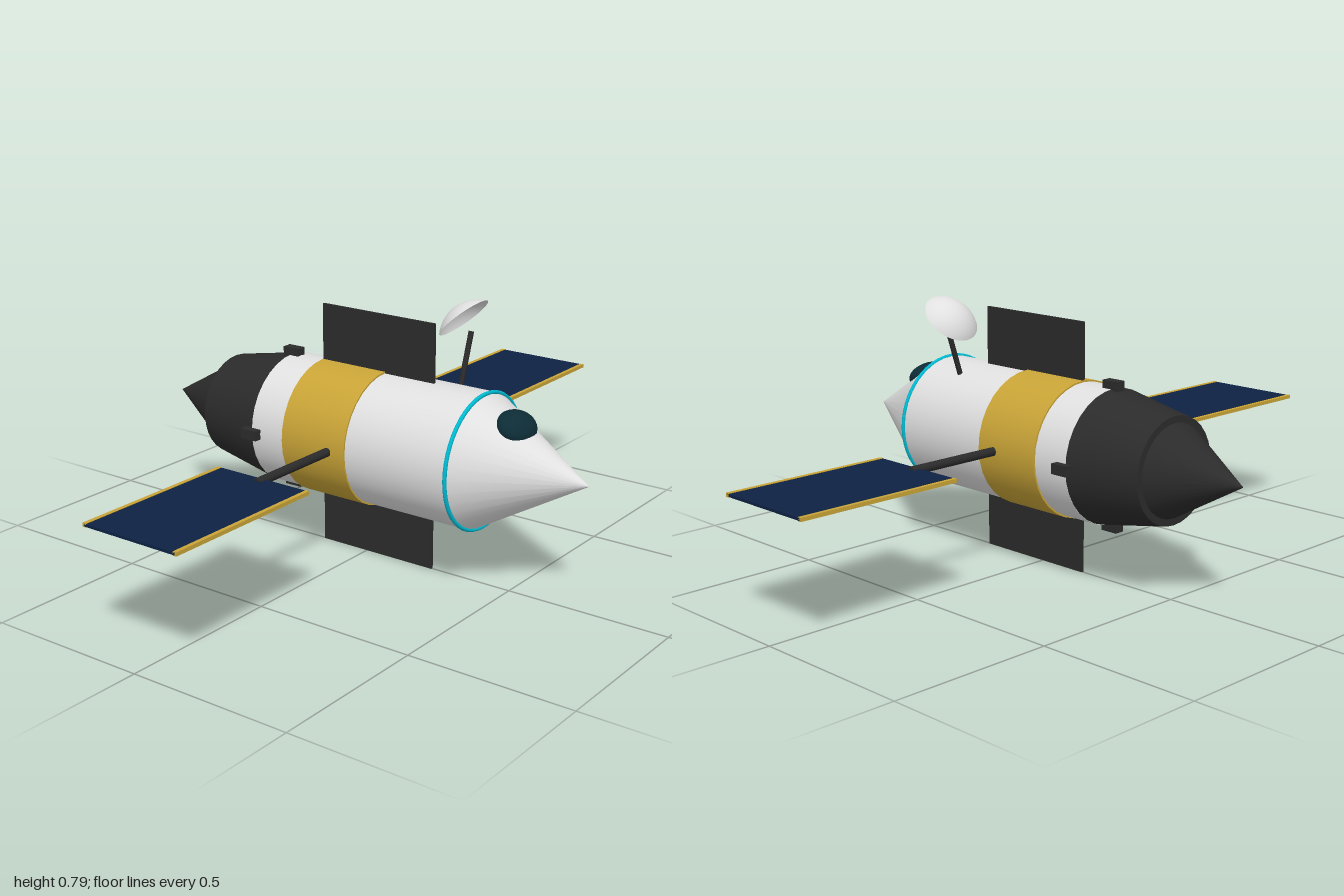
import * as THREE from 'three';

const paint = (name, color, side = THREE.FrontSide) => {
  const m = new THREE.MeshStandardMaterial({ color, side });
  m.name = name;
  return m;
};

export function createModel() {
  const white = paint('hull white', 0xe0e0e0, THREE.DoubleSide);
  const gold = paint('gold foil', 0xc9a437);
  const dark = paint('dark grey', 0x2b2b2b);
  const cyan = paint('cyan trim', 0x00bcd4);
  const glass = paint('dark teal glass', 0x0d2c36);
  const blue = paint('solar blue', 0x0d2244);

  const model = new THREE.Group();
  model.name = 'spacecraft';
  const AXIS = 0.372, R = 0.198;

  const add = (name, geometry, material, x = 0, y = AXIS, z = 0, parent = model) => {
    const mesh = new THREE.Mesh(geometry, material);
    mesh.name = name;
    mesh.position.set(x, y, z);
    parent.add(mesh);
    return mesh;
  };
  // round section along z, from its front end to its back end
  const section = (name, rFront, rBack, zFront, zBack, material) => {
    const g = new THREE.CylinderGeometry(rFront, rBack, zFront - zBack, 32);
    g.rotateX(Math.PI / 2);
    return add(name, g, material, 0, AXIS, (zFront + zBack) / 2);
  };

  // hull
  section('noseCone', 0, R, 0.742, 0.402, white);
  section('hull', R, R, 0.402, -0.28, white);
  section('foilBand', 0.203, 0.203, 0.064, -0.162, gold);
  section('engineSkirt', R - 0.001, 0.155, -0.28, -0.505, dark);
  section('tailCone', 0.135, 0, -0.505, -0.742, dark);
  add('trimRing', new THREE.TorusGeometry(R, 0.006, 8, 48), cyan, 0, AXIS, 0.405);

  // cockpit window bulging from the nose slope
  const cockpit = add('window', new THREE.SphereGeometry(1, 32, 20), glass, 0, 0.495, 0.508);
  cockpit.scale.set(0.072, 0.038, 0.056);
  cockpit.rotation.x = Math.PI / 6;

  // thruster blocks around the skirt joint
  for (let i = 0; i < 4; i++) {
    const a = i * Math.PI / 2;
    const block = add('thruster', new THREE.BoxGeometry(0.03, 0.03, 0.056), dark,
      Math.cos(a) * 0.205, AXIS + Math.sin(a) * 0.205, -0.276);
    block.rotation.z = a;
  }

  // upper and lower radiator plates
  for (const s of [1, -1]) {
    add(s > 0 ? 'upperRadiator' : 'lowerRadiator', new THREE.BoxGeometry(0.008, 0.192, 0.396),
      dark, 0, AXIS + s * 0.276, 0.037);
  }

  // solar wings with boom, panel and edge rails
  for (const s of [1, -1]) {
    const wing = new THREE.Group();
    wing.name = s > 0 ? 'leftWing' : 'rightWing';
    wing.position.set(0, AXIS, 0.004);
    model.add(wing);
    const boom = new THREE.CylinderGeometry(0.013, 0.013, 0.33, 12);
    boom.rotateZ(Math.PI / 2);
    add('boom', boom, dark, s * 0.345, 0, 0, wing);
    add('solarPanel', new THREE.BoxGeometry(0.515, 0.008, 0.31), blue, s * 0.7425, 0, 0, wing);
    for (const e of [1, -1]) {
      add('panelRail', new THREE.BoxGeometry(0.515, 0.011, 0.012), gold, s * 0.7425, 0, e * 0.155, wing);
    }
  }

  // antenna mast leaning outward, with an open dish
  const foot = new THREE.Vector3(0.09, 0.545, 0.265);
  const tip = new THREE.Vector3(0.14, 0.697, 0.265);
  const mast = add('antennaMast', new THREE.CylinderGeometry(0.008, 0.008, foot.distanceTo(tip), 12), dark);
  mast.position.copy(foot).lerp(tip, 0.5);
  mast.quaternion.setFromUnitVectors(new THREE.Vector3(0, 1, 0), tip.clone().sub(foot).normalize());

  const cap = new THREE.SphereGeometry(0.11, 32, 10, 0, Math.PI * 2, 0, 0.885);
  cap.translate(0, -0.07, 0); // rim plane at the origin
  const dish = add('antennaDish', cap, white, 0.155, 0.727, 0.228);
  dish.rotation.x = -0.76;

  return model;
}
